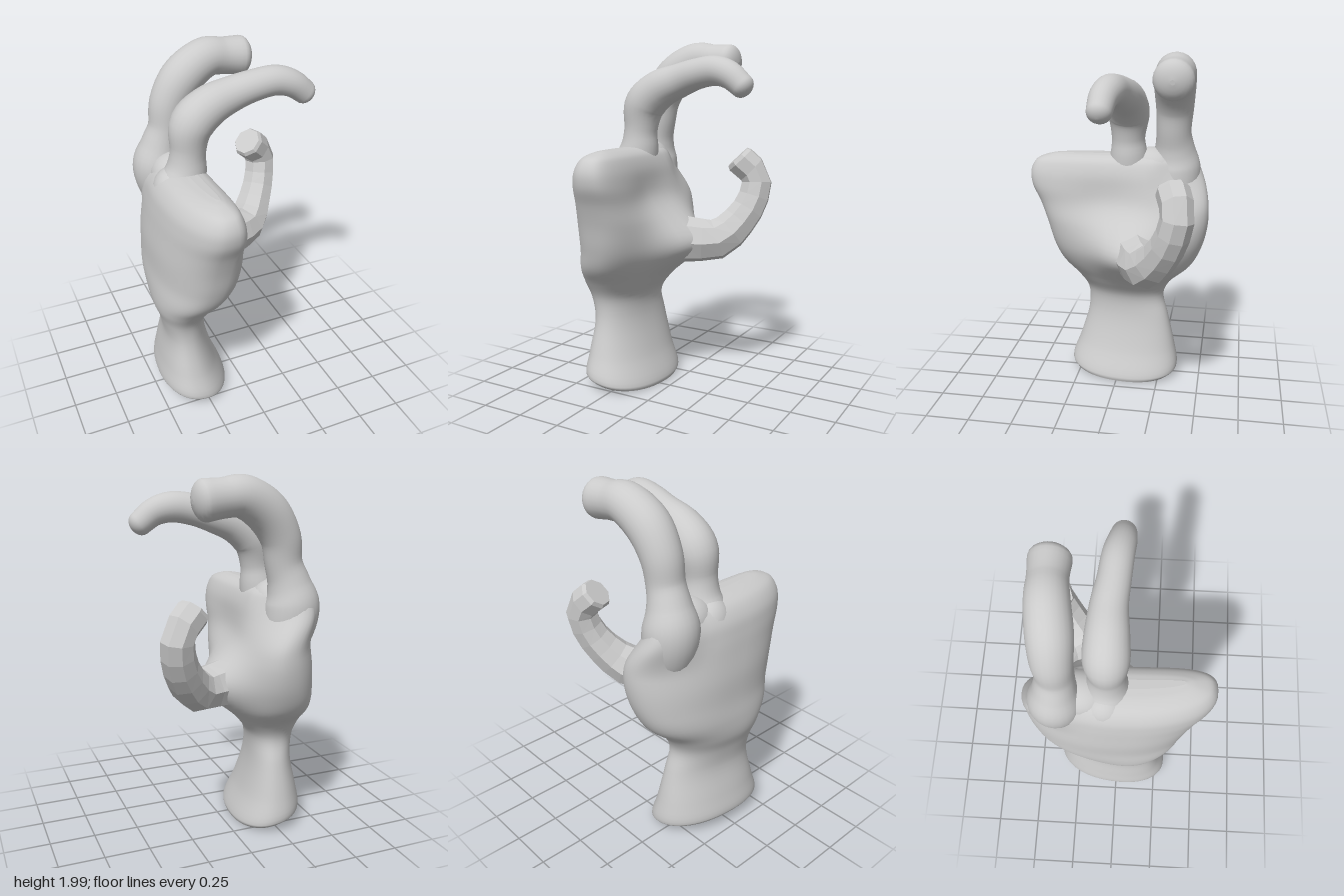
import * as THREE from 'three';

const grey = new THREE.MeshStandardMaterial({ color: 0xcccccc });
const greyFlat = new THREE.MeshStandardMaterial({ color: 0xcccccc, flatShading: true });
const { smoothstep } = THREE.MathUtils;

// Skin a list of equal-sized rings; each end is closed with its own fan.
function loft(rings) {
  const n = rings[0].length, pos = [], idx = [];
  for (const ring of rings) for (const p of ring) pos.push(p.x, p.y, p.z);
  for (let r = 0; r < rings.length - 1; r++) {
    for (let i = 0; i < n; i++) {
      const a = r * n + i, b = r * n + (i + 1) % n;
      idx.push(a, a + n, b, b, a + n, b + n);
    }
  }
  const cap = (ring, flip) => {
    const start = pos.length / 3, c = new THREE.Vector3();
    ring.forEach(p => { pos.push(p.x, p.y, p.z); c.addScaledVector(p, 1 / n); });
    pos.push(c.x, c.y, c.z);
    for (let i = 0; i < n; i++) {
      const a = start + i, b = start + (i + 1) % n;
      if (flip) idx.push(a, b, start + n); else idx.push(b, a, start + n);
    }
  };
  cap(rings[0], true);
  cap(rings[rings.length - 1], false);
  const g = new THREE.BufferGeometry();
  g.setAttribute('position', new THREE.Float32BufferAttribute(pos, 3));
  g.setIndex(idx);
  g.computeVertexNormals();
  return g;
}

// Curved limb through [x, y, z, radius] stations with a domed tip.
function limb(stations, sides, steps, dome) {
  const curve = new THREE.CatmullRomCurve3(stations.map(s => new THREE.Vector3(s[0], s[1], s[2])));
  const radii = new THREE.CatmullRomCurve3(stations.map((s, i) => new THREE.Vector3(i, s[3], 0)));
  const { tangents, normals, binormals } = curve.computeFrenetFrames(steps, false);
  const rings = [];
  const addRing = (c, i, r) => {
    const ring = [];
    for (let k = 0; k < sides; k++) {
      const t = k / sides * Math.PI * 2;
      ring.push(c.clone().addScaledVector(normals[i], r * Math.cos(t))
        .addScaledVector(binormals[i], -r * Math.sin(t)));
    }
    rings.push(ring);
  };
  // the same curve parameter drives both position and radius
  for (let i = 0; i <= steps; i++) {
    const u = curve.getUtoTmapping(i / steps);
    addRing(curve.getPoint(u), i, radii.getPoint(u).y);
  }
  const end = curve.getPoint(1), r = stations[stations.length - 1][3];
  for (let j = 1; j <= dome.rings; j++) {
    const a = j / dome.rings * dome.angle;
    addRing(end.clone().addScaledVector(tangents[steps], r * dome.length * Math.sin(a)), steps, r * Math.cos(a));
  }
  return loft(rings);
}

// Palm and wrist: [y, xMin, xMax, zMin, zMax] per level.
function palmGeometry() {
  const levels = [
    [0.04, -0.46, -0.065, -0.335, 0.29], [0.065, -0.475, -0.06, -0.36, 0.31], [0.2, -0.455, -0.12, -0.34, 0.265],
    [0.4, -0.425, -0.17, -0.295, 0.21], [0.53, -0.445, -0.165, -0.265, 0.215], [0.63, -0.48, -0.11, -0.31, 0.27],
    [0.74, -0.49, -0.06, -0.43, 0.355], [0.86, -0.48, -0.03, -0.49, 0.4], [1.0, -0.475, -0.03, -0.52, 0.435],
    [1.12, -0.46, -0.06, -0.52, 0.475], [1.22, -0.445, -0.08, -0.5, 0.52], [1.3, -0.425, -0.1, -0.47, 0.525],
    [1.365, -0.38, -0.13, -0.44, 0.49], [1.395, -0.32, -0.17, -0.41, 0.41], [1.405, -0.26, -0.21, -0.37, 0.35],
  ];
  const mk = f => new THREE.CatmullRomCurve3(levels.map(f));
  const low = mk(l => new THREE.Vector3(l[1], l[0], l[3]));
  const high = mk(l => new THREE.Vector3(l[2], l[0], l[4]));
  const rings = [], steps = 70, sides = 56;
  const sup = (v, e) => Math.sign(v) * Math.pow(Math.abs(v), e);
  for (let i = 0; i <= steps; i++) {
    const a = low.getPoint(i / steps), b = high.getPoint(i / steps), ring = [];
    const rise = smoothstep(a.y, 0.6, 1.2), top = smoothstep(a.y, 1.08, 1.36);
    const twist = (0.09 + 0.08 * smoothstep(a.y, 0, 0.45)) * (1 - smoothstep(a.y, 0.5, 0.85));
    for (let k = 0; k < sides; k++) {
      const t = k / sides * Math.PI * 2;
      // the outer edge of the palm is blunter than the wrist
      const e = Math.sin(t) > 0 ? 0.9 - 0.15 * rise : 0.9;
      const c = sup(Math.cos(t), e), s = sup(Math.sin(t), e);
      let x = (a.x + b.x) / 2 + c * (b.x - a.x) / 2;
      let y = a.y;
      const z = (a.z + b.z) / 2 + s * (b.z - a.z) / 2;
      // slanted cut at the wrist, and the wrist turned a little
      y -= (x + 0.265) * 0.2 * Math.max(0, 1 - y / 0.45);
      x -= twist * (z + 0.03);
      // both edges of the palm curl forward, but the index corner leans back into its finger
      x += 0.2 * z * z * rise - 0.4 * Math.max(0, -z - 0.2) * top;
      // mound that swells into the thumb, and the hollow of the palm
      if (c > 0) {
        const front = Math.min(1, c * 2);
        x += 0.18 * front * Math.exp(-(((y - 0.86) / 0.155) ** 2) - ((z + 0.11) / 0.205) ** 2);
        x -= 0.025 * front * Math.exp(-(((y - 1.15) / 0.12) ** 2) - ((z - 0.08) / 0.2) ** 2);
      }
      ring.push(new THREE.Vector3(x, y, z));
    }
    rings.push(ring);
  }
  return loft(rings);
}

export function createModel() {
  const model = new THREE.Group();
  model.name = 'hand';
  const add = (name, geometry, material = grey) => {
    const m = new THREE.Mesh(geometry, material);
    m.name = name;
    model.add(m);
    return m;
  };
  const lump = (name, p, s) => {
    const m = add(name, new THREE.SphereGeometry(1, 24, 16));
    m.position.set(...p);
    m.scale.set(...s);
  };

  add('palmAndWrist', palmGeometry());

  // Two curled fingers, each rooted in a knuckle
  add('indexFinger', limb([
    [-0.26, 1.06, -0.31, 0.1], [-0.285, 1.2, -0.315, 0.14], [-0.3, 1.33, -0.315, 0.146], [-0.28, 1.44, -0.31, 0.115],
    [-0.25, 1.54, -0.305, 0.1], [-0.225, 1.68, -0.31, 0.107], [-0.14, 1.81, -0.315, 0.115],
    [0, 1.89, -0.33, 0.108], [0.1, 1.885, -0.335, 0.1], [0.2, 1.875, -0.335, 0.107],
  ], 24, 48, { rings: 6, angle: 1.45, length: 0.6 }));
  add('middleFinger', limb([
    [-0.27, 1.1, -0.05, 0.08], [-0.26, 1.28, -0.05, 0.13], [-0.23, 1.4, -0.05, 0.11], [-0.22, 1.5, -0.048, 0.096],
    [-0.195, 1.64, -0.053, 0.117], [-0.1, 1.725, -0.053, 0.11], [0.03, 1.775, -0.05, 0.094], [0.15, 1.81, -0.033, 0.084],
    [0.27, 1.825, -0.02, 0.08], [0.36, 1.8, -0.005, 0.073], [0.435, 1.743, 0, 0.065],
  ], 24, 52, { rings: 7, angle: 1.5, length: 0.8 }));

  // Faceted thumb with a blunt tip
  add('thumb', limb([
    [-0.04, 0.87, -0.12, 0.15], [0.08, 0.865, -0.15, 0.13], [0.2, 0.87, -0.21, 0.12], [0.295, 0.97, -0.295, 0.102],
    [0.355, 1.1, -0.36, 0.093], [0.36, 1.23, -0.385, 0.09], [0.275, 1.325, -0.35, 0.092],
  ], 8, 10, { rings: 1, angle: 0.5, length: 0.5 }), greyFlat);

  // Knuckle behind the middle finger and the web between the finger roots
  lump('middleKnuckle', [-0.31, 1.27, -0.06], [0.11, 0.14, 0.13]);
  lump('fingerWeb', [-0.26, 1.31, -0.18], [0.13, 0.13, 0.16]);
  return model;
}
